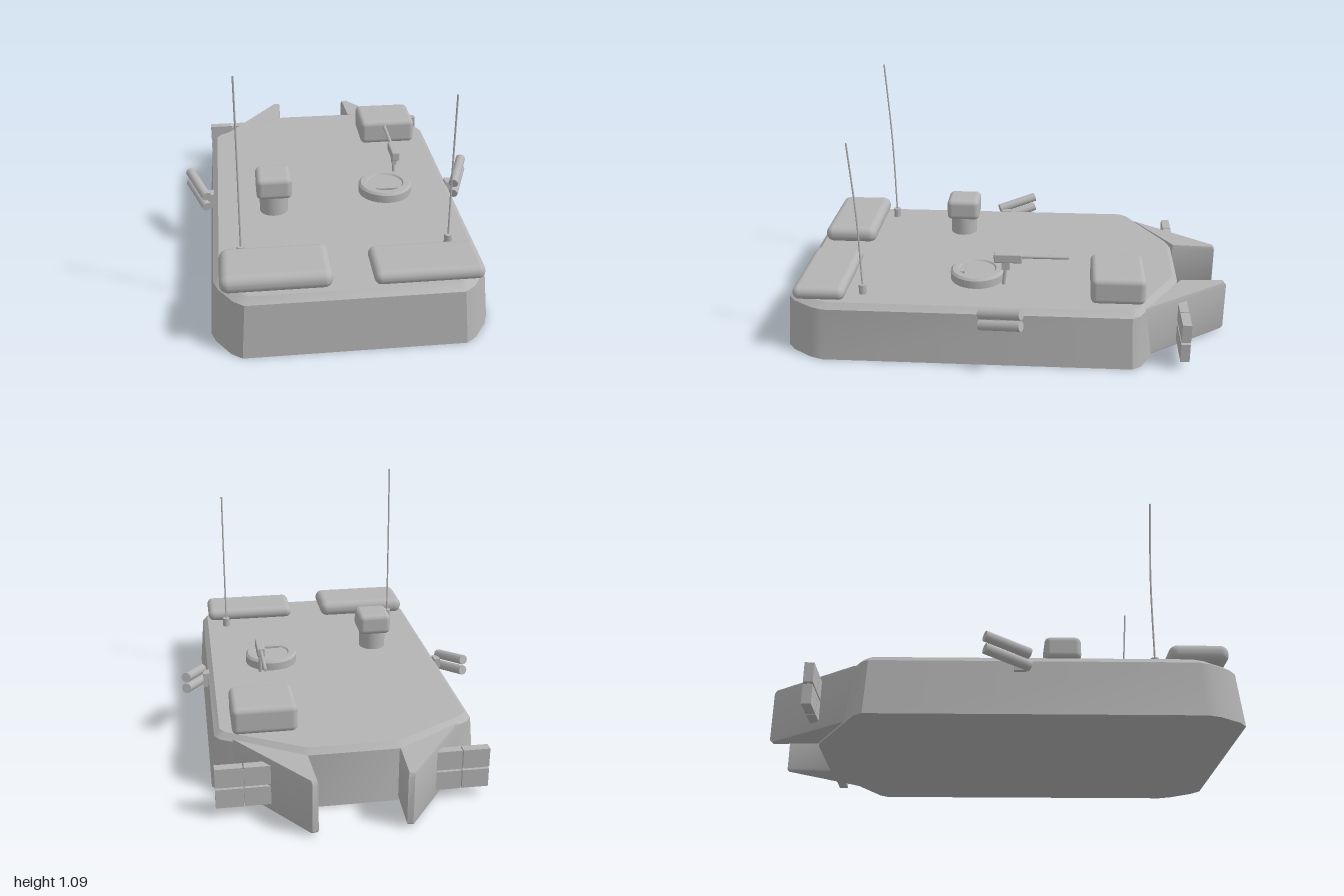
import * as THREE from 'three';
import { toCreasedNormals } from 'three/addons/utils/BufferGeometryUtils.js';
import { RoundedBoxGeometry } from 'three/addons/geometries/RoundedBoxGeometry.js';

const grey = new THREE.MeshStandardMaterial({ color: 0xb4b4b4 });
grey.name = 'plain grey';

function add(parent, name, geometry, x = 0, y = 0, z = 0) {
  const mesh = new THREE.Mesh(geometry, grey);
  mesh.name = name;
  mesh.position.set(x, y, z);
  parent.add(mesh);
  return mesh;
}

// Solid through stacked convex plans; each ring is { y, plan: [[x, z], ...] }, counter-clockwise from above.
function loft(rings) {
  const n = rings[0].plan.length, pos = [], index = [];
  for (const { y, plan } of rings) for (const [x, z] of plan) pos.push(x, y, z);
  for (let r = 0; r < rings.length - 1; r++) {
    for (let i = 0; i < n; i++) {
      const a = r * n + i, b = r * n + (i + 1) % n;
      index.push(a, b, b + n, a, b + n, a + n);
    }
  }
  const top = (rings.length - 1) * n;
  for (let i = 1; i < n - 1; i++) index.push(0, i + 1, i, top, top + i, top + i + 1);
  const g = new THREE.BufferGeometry();
  g.setAttribute('position', new THREE.Float32BufferAttribute(pos, 3));
  g.setIndex(index);
  return toCreasedNormals(g, 0.6);
}

// Cylinder running between two points
function rod(parent, name, from, to, radius, sides) {
  const a = new THREE.Vector3(...from), b = new THREE.Vector3(...to);
  const dir = b.clone().sub(a);
  const mesh = add(parent, name, new THREE.CylinderGeometry(radius, radius, dir.length(), sides));
  mesh.position.copy(a).add(b).multiplyScalar(0.5);
  mesh.quaternion.setFromUnitVectors(new THREE.Vector3(0, 1, 0), dir.normalize());
  return mesh;
}

// Rounded box given by its limits on each axis
function softBox(parent, name, [x0, x1], [y0, y1], [z0, z1], radius) {
  return add(parent, name, new RoundedBoxGeometry(x1 - x0, y1 - y0, z1 - z0, 4, radius),
    (x0 + x1) / 2, (y0 + y1) / 2, (z0 + z1) / 2);
}

export function createModel() {
  const model = new THREE.Group();
  model.name = 'armouredTurret';

  // Hull: tapering walls with a narrow bevel around the roof
  const half = [[0.46, 1], [0.505, 0.965], [0.565, 0.875], [0.585, 0.82],
    [0.585, -0.56], [0.56, -0.595], [0.225, -0.78], [0.19, -0.79]];
  const outline = [...half, ...half.map(([x, z]) => [-x, z]).reverse()];
  const scaled = (sx, sz) => outline.map(([x, z]) => [x * sx, z * sz]);
  add(model, 'hull', loft([
    { y: 0, plan: outline },
    { y: 0.24, plan: scaled(0.966, 0.983) },
    { y: 0.265, plan: scaled(0.925, 0.955) },
  ]));

  // Rear wedges, sight panels and smoke tubes on both sides
  for (const s of [1, -1]) {
    const side = new THREE.Group();
    side.name = s > 0 ? 'leftSide' : 'rightSide';
    model.add(side);

    const wedge = [[0.5, -0.6], [0.205, -1], [0.18, -0.995], [0.19, -0.79]];
    const plan = (k) => {
      const p = wedge.map(([x, z]) => [s * (0.26 + (x - 0.26) * k), -0.84 + (z + 0.84) * k]);
      return s > 0 ? p : p.reverse();
    };
    add(side, 'rearWedge', loft([
      { y: 0.01, plan: plan(0.94) },
      { y: 0.02, plan: plan(1) },
      { y: 0.235, plan: plan(1) },
      { y: 0.25, plan: plan(0.94) },
    ]));

    for (const x of [0.4, 0.52]) {
      for (const y of [0.085, 0.18]) {
        add(side, 'sightPanel', new THREE.BoxGeometry(0.115, 0.085, 0.04), s * x, y, -0.785);
      }
    }
    add(side, 'panelBacking', new THREE.BoxGeometry(0.2, 0.14, 0.012), s * 0.46, 0.133, -0.785);

    for (const y of [0.205, 0.26]) {
      rod(side, 'smokeTube', [s * 0.595, y, 0.11], [s * 0.672, y + 0.042, -0.075], 0.023, 10);
    }
    add(side, 'smokeTubeBracket', new THREE.BoxGeometry(0.03, 0.07, 0.05), s * 0.575, 0.225, 0.07);
  }

  // Stowage on the roof
  softBox(model, 'rightStowageRoll', [-0.54, -0.085], [0.263, 0.342], [0.695, 0.948], 0.037);
  softBox(model, 'leftStowageRoll', [0.08, 0.535], [0.263, 0.325], [0.715, 0.948], 0.03);
  softBox(model, 'rearStowageBox', [0.21, 0.49], [0.262, 0.385], [-0.61, -0.37], 0.025);

  // Sight on its pedestal
  add(model, 'sightPedestal', new THREE.CylinderGeometry(0.065, 0.065, 0.1, 24), -0.285, 0.312, 0.27);
  softBox(model, 'sightHead', [-0.365, -0.205], [0.35, 0.455], [0.188, 0.348], 0.025);

  // Hatch ring with its lid
  const ring = [[0.125, 0], [0.125, 0.037], [0.115, 0.047], [0.088, 0.047], [0.082, 0.04], [0, 0.04]]
    .map(([x, y]) => new THREE.Vector2(x, y));
  add(model, 'hatch', toCreasedNormals(new THREE.LatheGeometry(ring, 28), 0.5), 0.25, 0.265, 0.15);
  add(model, 'hatchHandle', new THREE.BoxGeometry(0.1, 0.012, 0.018), 0.25, 0.309, 0.214);

  // Roof gun
  const gun = new THREE.Group();
  gun.name = 'roofGun';
  model.add(gun);
  rod(gun, 'gunPost', [0.315, 0.262, 0.025], [0.315, 0.35, 0.015], 0.008, 8);
  add(gun, 'gunCradle', new THREE.BoxGeometry(0.02, 0.04, 0.036), 0.315, 0.36, 0.015);
  softBox(gun, 'gunReceiver', [0.296, 0.334], [0.377, 0.42], [-0.06, 0.068], 0.006);
  rod(gun, 'gunBarrel', [0.315, 0.404, -0.05], [0.315, 0.404, -0.27], 0.008, 10);

  // Whip aerials bending slightly forward
  for (const [x, tip] of [[-0.447, 1.09], [0.443, 0.972]]) {
    add(model, 'aerialBase', new THREE.CylinderGeometry(0.018, 0.018, 0.046, 12), x, 0.286, 0.648);
    const path = new THREE.CatmullRomCurve3([
      new THREE.Vector3(x, 0.3, 0.648),
      new THREE.Vector3(x, 0.3 + (tip - 0.3) * 0.5, 0.656),
      new THREE.Vector3(x - 0.002, tip, 0.68),
    ]);
    add(model, 'aerial', new THREE.TubeGeometry(path, 12, 0.004, 8));
  }
  return model;
}
